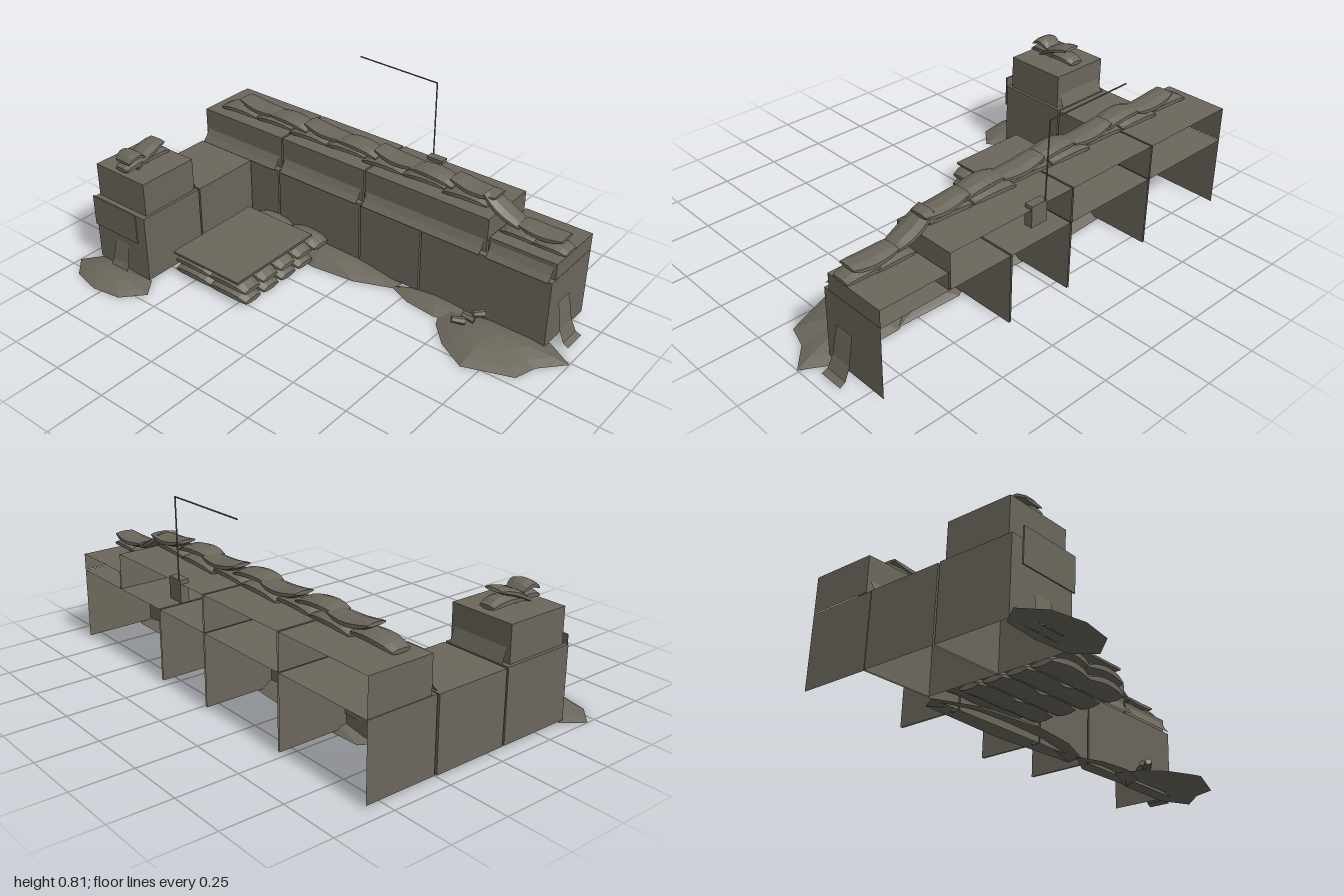
import * as THREE from 'three';

const earth = new THREE.MeshStandardMaterial({ color: 0x6b675c, side: THREE.DoubleSide, flatShading: true });
earth.name = 'dusty earth';

export function createModel() {
  const model = new THREE.Group();
  const add = (name, geo, x = 0, y = 0, z = 0, parent = model) => {
    const m = new THREE.Mesh(geo, earth);
    m.name = name;
    m.position.set(x, y, z);
    parent.add(m);
    return m;
  };

  // Box from bounds; `open` lists faces to leave out (0 +x, 1 -x, 2 +y, 3 -y, 4 +z, 5 -z)
  const block = (name, [x0, x1], [y0, y1], [z0, z1], open = []) => {
    const g = new THREE.BoxGeometry(x1 - x0, y1 - y0, z1 - z0);
    const all = Array.from(g.index.array);
    g.setIndex(all.filter((_, i) => !open.includes(Math.floor(i / 6))));
    g.clearGroups();
    return add(name, g, (x0 + x1) / 2, (y0 + y1) / 2, (z0 + z1) / 2);
  };

  // Main wall: hollow blocks without backs or floors
  const gap = 0.004;
  const lower = [-0.94, -0.48, -0.03, 0.28, 0.88];
  for (let i = 0; i < 4; i++)
    block('lowerWallBlock', [lower[i] + gap, lower[i + 1] - gap], [0.01, 0.31], [-0.565, -0.262], [3, 5]);
  const upper = [-0.94, -0.48, -0.03, 0.575, 0.88];
  for (let i = 0; i < 4; i++)
    block('upperWallBlock', [upper[i] + gap, upper[i + 1] - gap], [0.312, i < 3 ? 0.46 : 0.383], [-0.565, -0.288], [3, 5]);

  // Side arm and tower
  block('armRearBlock', [-0.94, -0.64], [0.01, 0.308], [-0.255, 0.066], [3]);
  block('armFrontBlock', [-0.94, -0.64], [0.01, 0.31], [0.074, 0.39], [3]);
  block('towerBlock', [-0.93, -0.65], [0.312, 0.46], [0.09, 0.368], [3]);

  // Strip of cloth following a side profile of [offset, y] points
  const cloth = (name, pts, width, flare = 0) => {
    const g = new THREE.PlaneGeometry(1, 1, 1, pts.length - 1);
    const p = g.attributes.position;
    pts.forEach(([o, y], i) => {
      const w = width / 2 + flare * i / (pts.length - 1);
      p.setXYZ(i * 2, -w, y, o);
      p.setXYZ(i * 2 + 1, w, y, o);
    });
    g.computeVertexNormals();
    return add(name, g);
  };

  // Skirts folded out at the foot of the upper blocks
  for (let i = 0; i < 4; i++) {
    const s = cloth('wallSkirt', [[-0.287, 0.365], [-0.27, 0.335], [-0.25, 0.312]], upper[i + 1] - upper[i] - 0.03);
    s.position.x = (upper[i] + upper[i + 1]) / 2;
  }
  cloth('towerSkirt', [[0.089, 0.37], [0.078, 0.34], [0.068, 0.311]], 0.25).position.x = -0.79;

  // Loose cloth tongues at the wall feet
  const flap = [[0, 0.19], [0.012, 0.13], [0.022, 0.07], [0.045, 0.02], [0.07, 0.008]];
  const endFlap = cloth('endFlap', flap, 0.085, 0.01);
  endFlap.rotation.y = Math.PI / 2;
  endFlap.position.set(0.881, 0, -0.37);
  cloth('towerFlap', flap.map(([o, y]) => [o * 0.8, y * 0.75]), 0.08, 0.012).position.set(-0.79, 0, 0.391);

  // Sandbag: flattened octagonal tube with pinched ends and a sag
  const bag = (name, x, y, z, { len = 0.2, w = 0.1, h = 0.04, bend = 0, slope = 0, turn = 0 }) => {
    const g = new THREE.CylinderGeometry(1, 1, len, 8, 6, false, Math.PI / 8);
    g.rotateZ(Math.PI / 2);
    const p = g.attributes.position;
    for (let i = 0; i < p.count; i++) {
      const t = p.getX(i) / (len / 2), k = t * t;
      p.setY(i, p.getY(i) * h * 0.54 * (1 - 0.6 * k * k) + bend * (k - 0.4));
      p.setZ(i, p.getZ(i) * w * 0.54 * (1 - 0.2 * k));
    }
    g.computeVertexNormals();
    const m = add(name, g, x, y, z);
    m.rotation.set(0, turn, slope);
    return m;
  };

  // Two courses of sandbags along the wall top
  for (let i = 0; i < 7; i++) {
    const side = i % 2 ? -0.006 : 0.006;
    bag('wallSandbag', -0.775 + i * 0.2, 0.482, -0.378 + side, { len: 0.205, bend: -0.012, slope: 0.04 });
    bag('wallSandbag', -0.67 + i * 0.187, 0.517, -0.378 - side, { len: 0.205, h: 0.035, bend: i % 2 ? -0.012 : 0.014, slope: -0.07 });
  }
  bag('slopingSandbag', 0.59, 0.475, -0.375, { len: 0.19, h: 0.035, slope: -0.5, bend: 0.012 });
  bag('endSandbag', 0.68, 0.402, -0.375, { len: 0.17, h: 0.035, bend: -0.01 });
  bag('endSandbag', 0.81, 0.405, -0.37, { len: 0.15, h: 0.035, bend: -0.008 });
  bag('endSandbag', 0.765, 0.44, -0.378, { len: 0.19, h: 0.035, bend: 0.012 });

  // Sandbags on the tower
  const along = Math.PI / 2;
  bag('towerSandbag', -0.79, 0.482, 0.19, { len: 0.15, w: 0.085, bend: -0.012, turn: along });
  bag('towerSandbag', -0.79, 0.482, 0.29, { len: 0.13, w: 0.085, bend: -0.012, turn: along });
  bag('towerSandbag', -0.79, 0.505, 0.225, { len: 0.17, h: 0.03, turn: along, slope: 0.4, bend: -0.01 });
  bag('towerSandbag', -0.79, 0.518, 0.3, { len: 0.09, h: 0.03, turn: along, bend: -0.02 });

  // Sandbag stack carrying a board
  for (let i = 0; i < 5; i++) {
    const z = 0.228 - i * 0.11;
    for (const x of [-0.495, -0.3]) {
      if (i < 4) bag('stackSandbag', x, 0.033, z, { len: 0.205, w: 0.112, h: 0.052, bend: -0.014 });
      bag('stackSandbag', x, i < 4 ? 0.08 : 0.07, z, { len: 0.2, w: 0.112, h: 0.046, bend: -0.014 });
    }
  }
  block('board', [-0.597, -0.23], [0.109, 0.118], [-0.187, 0.282]);

  // Dirt heap: an outline shrinking upward in rings to a peak
  const heap = (name, outline, cx, cz, height) => {
    const rings = [[1, 0], [0.8, 0.35], [0.5, 0.75], [0.2, 0.97], [0, 1]];
    const n = outline.length, pos = [], idx = [];
    for (const [s, h] of rings)
      for (const [x, z] of outline) pos.push(cx + (x - cx) * s, h * height, cz + (z - cz) * s);
    for (let r = 0; r < rings.length - 1; r++)
      for (let i = 0; i < n; i++) {
        const a = r * n + i, b = r * n + (i + 1) % n;
        idx.push(a, b, a + n, b, b + n, a + n);
      }
    const g = new THREE.BufferGeometry();
    g.setAttribute('position', new THREE.Float32BufferAttribute(pos, 3));
    g.setIndex(idx);
    g.computeVertexNormals();
    add(name, g);
  };
  heap('towerDirtHeap', [[-1, 0.46], [-0.92, 0.54], [-0.79, 0.57], [-0.66, 0.55], [-0.58, 0.46],
    [-0.64, 0.38], [-0.79, 0.365], [-0.94, 0.38]], -0.79, 0.46, 0.034);
  heap('wallDirtHeap', [[-0.64, -0.24], [-0.5, -0.17], [-0.18, -0.13], [0.02, -0.155], [0.18, -0.22],
    [0.2, -0.3], [-0.2, -0.33], [-0.6, -0.31]], -0.22, -0.235, 0.045);
  heap('wallDirtHeap', [[0.16, -0.23], [0.28, -0.18], [0.42, -0.165], [0.55, -0.2], [0.6, -0.3], [0.3, -0.31]],
    0.38, -0.25, 0.025);
  heap('endDirtHeap', [[0.46, -0.13], [0.55, -0.04], [0.68, 0.03], [0.88, -0.045], [0.91, -0.14], [1, -0.24],
    [0.88, -0.31], [0.6, -0.31], [0.42, -0.23]], 0.68, -0.17, 0.042);

  // Small debris on the end heap
  [[0.55, -0.15, 0.7], [0.575, -0.185, 0.2], [0.6, -0.215, 1.1]].forEach(([x, z, turn], i) => {
    const d = add('debris', new THREE.CylinderGeometry(0.014, 0.017, 0.055, 6), x, 0.052 + i * 0.008, z);
    d.rotation.set(0, turn, 1.35);
  });

  // Floating sign plate in front of the tower
  block('signPlate', [-0.915, -0.66], [0.198, 0.335], [0.413, 0.419]);

  // Radio box with mast and bent aerial
  block('radioBox', [0.112, 0.188], [0.385, 0.475], [-0.568, -0.532]);
  const rod = (name, a, b) => add(name, new THREE.TubeGeometry(
    new THREE.LineCurve3(new THREE.Vector3(...a), new THREE.Vector3(...b)), 1, 0.003, 5));
  rod('mast', [0.122, 0.47, -0.567], [0.118, 0.797, -0.571]);
  rod('aerialArm', [0.118, 0.797, -0.571], [-0.275, 0.803, -0.573]);

  return model;
}
